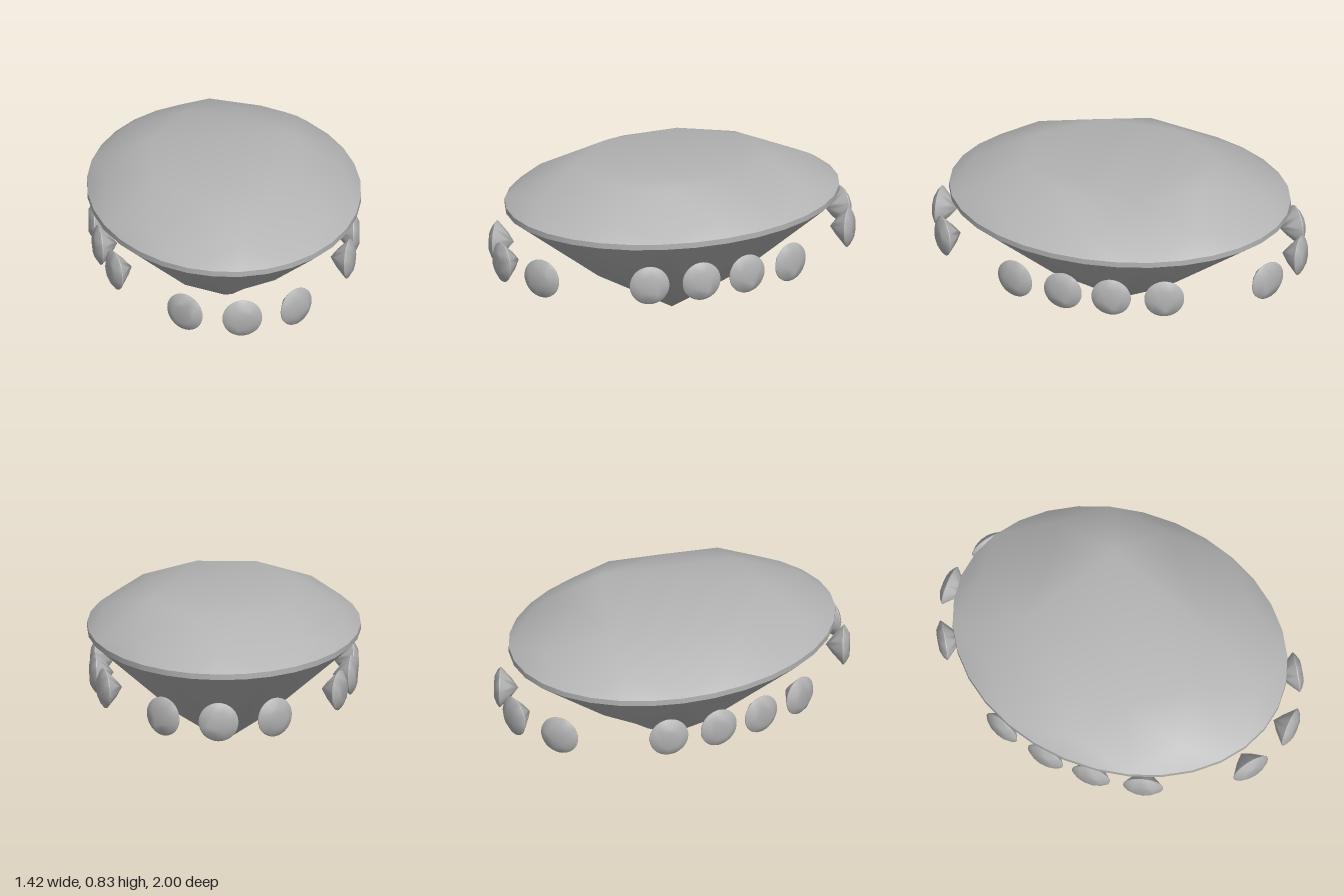
import * as THREE from 'three';

const stone = new THREE.MeshStandardMaterial({ color: 0xb4b4b4 });
stone.name = 'grey stone';

// Cut proportions: radius 1 at the girdle, height 0.83
const CUT = {
  top: 0.83, tableR: 0.575, crownMidY: 0.73, crownMidR: 0.87,
  girdleTop: 0.645, girdleBottom: 0.615, pavilionY: 0.24, pavilionR: 0.465,
};

// n points on a circle, counter-clockwise from above
function ring(n, radius, y, offset = 0) {
  return Array.from({ length: n }, (_, i) => {
    const t = ((i + offset) / n) * Math.PI * 2;
    return [Math.cos(t) * radius, y, -Math.sin(t) * radius];
  });
}

function facetGeometry(points, faces, scale) {
  const g = new THREE.BufferGeometry();
  g.setAttribute('position', new THREE.Float32BufferAttribute(points.flat(), 3));
  g.setIndex(faces.flat());
  g.scale(...scale);
  g.computeVertexNormals();
  return g;
}

// Oval brilliant: table, star, kite and half facets above; kites and halves below
function gemGeometries(scale) {
  const wrap = (i, n) => (i + n) % n;
  const T = (k) => wrap(k, 8);
  const M = (k) => 8 + wrap(k, 8);
  const G = (i) => 16 + wrap(i, 32);

  const crown = [];
  for (let k = 1; k < 7; k++) crown.push([T(0), T(k), T(k + 1)]);
  const pavilion = [];
  const P = (k) => 1 + wrap(k, 8);
  const L = (i) => 9 + wrap(i, 32);
  for (let k = 0; k < 8; k++) {
    const c = 4 * k;
    crown.push([T(k - 1), M(k), T(k)], [T(k), M(k), G(c + 2)], [T(k), G(c + 2), M(k + 1)]);
    pavilion.push([0, L(c + 2), P(k)], [0, P(k + 1), L(c + 2)]);
    for (let j = c - 2; j < c + 2; j++) {
      crown.push([M(k), G(j), G(j + 1)]);
      pavilion.push([P(k), L(j + 1), L(j)]);
    }
  }
  const thickness = CUT.girdleTop - CUT.girdleBottom;
  const girdle = new THREE.CylinderGeometry(1, 1, thickness, 32, 1, true);
  girdle.translate(0, CUT.girdleBottom + thickness / 2, 0);
  girdle.scale(...scale);
  return {
    crown: facetGeometry([
      ...ring(8, CUT.tableR, CUT.top, 0.5),
      ...ring(8, CUT.crownMidR, CUT.crownMidY),
      ...ring(32, 1, CUT.girdleTop),
    ], crown, scale),
    girdle,
    pavilion: facetGeometry([
      [0, 0, 0],
      ...ring(8, CUT.pavilionR, CUT.pavilionY),
      ...ring(32, 1, CUT.girdleBottom),
    ], pavilion, scale),
  };
}

function makeGem(name, geometries) {
  const gem = new THREE.Group();
  gem.name = name;
  for (const [part, geometry] of Object.entries(geometries)) {
    const mesh = new THREE.Mesh(geometry, stone);
    mesh.name = part;
    gem.add(mesh);
  }
  return gem;
}

export function createModel() {
  const model = new THREE.Group();
  model.name = 'ovalGemWithAccents';
  model.add(makeGem('centreGem', gemGeometries([0.712, 1, 0.9])));

  // Small round gems on an oval around the centre gem, facing outward
  const size = 0.15;
  const accent = gemGeometries([0.104, size, 0.104]);
  const a = 0.67, b = 0.968;
  const up = new THREE.Vector3(0, 1, 0);
  const quarter = [25.7, 65.5, 82.3];
  const angles = [0, 180, ...quarter.flatMap((t) => [t, 180 - t, 180 + t, 360 - t])];
  for (const degrees of angles) {
    const t = THREE.MathUtils.degToRad(degrees);
    const outward = new THREE.Vector3(Math.sin(t) / a, 0, Math.cos(t) / b).normalize();
    const gem = makeGem('accentGem', accent);
    gem.quaternion.setFromUnitVectors(up, outward);
    gem.position.set(a * Math.sin(t), 0.408, b * Math.cos(t))
      .addScaledVector(outward, -0.63 * size);
    model.add(gem);
  }
  return model;
}
